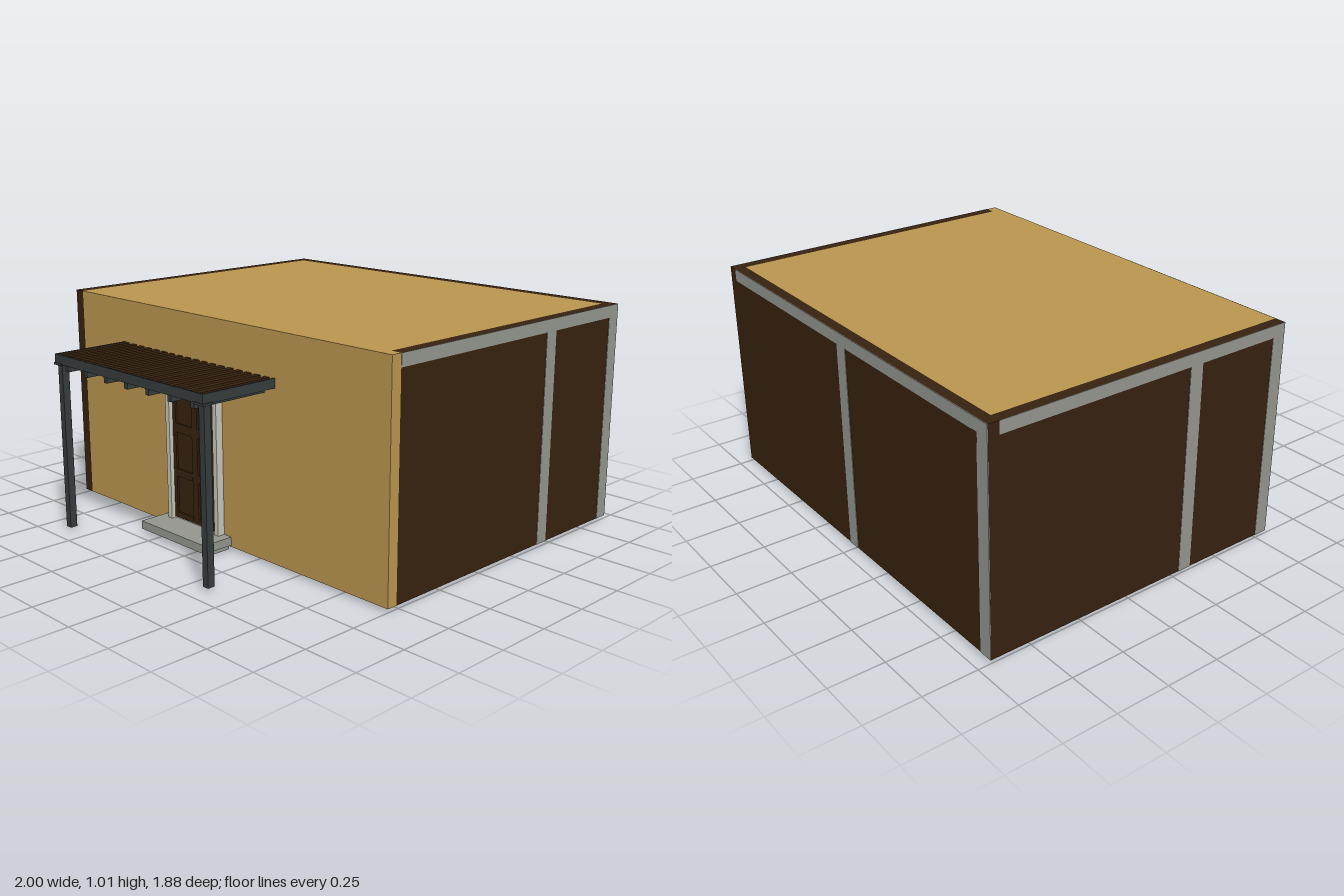
import * as THREE from 'three';

const mat = (name, color) => {
  const m = new THREE.MeshStandardMaterial({ color });
  m.name = name;
  return m;
};

export function createModel() {
  const model = new THREE.Group();
  model.name = 'cabin';
  const plaster = mat('tan plaster', 0xb8954f);
  const timber = mat('dark brown timber', 0x36220f);
  const stone = mat('grey frame and steps', 0x92948d);
  const trim = mat('pale trim', 0xc6c5b6);
  const metal = mat('charcoal metal', 0x353b3c);

  // Box given by its limits on each axis
  const box = (parent, name, material, [x0, x1], [y0, y1], [z0, z1]) => {
    const mesh = new THREE.Mesh(new THREE.BoxGeometry(x1 - x0, y1 - y0, z1 - z0), material);
    mesh.position.set((x0 + x1) / 2, (y0 + y1) / 2, (z0 + z1) / 2);
    mesh.name = name;
    parent.add(mesh);
    return mesh;
  };
  const group = (name) => {
    const g = new THREE.Group();
    g.name = name;
    model.add(g);
    return g;
  };

  // Shell: four walls overlapping at the corners, a roof and no floor
  const shell = group('shell');
  const H = [0.015, 1.01];
  box(shell, 'frontWall', plaster, [-0.95, 1], H, [0.51, 0.56]);
  box(shell, 'rightWall', timber, [-1, -0.95], H, [-0.89, 0.56]);
  box(shell, 'backWall', timber, [-1, 0.95], H, [-0.94, -0.89]);
  box(shell, 'leftWall', timber, [0.95, 1], H, [-0.94, 0.51]);
  box(shell, 'roof', plaster, [-0.95, 0.95], [0.96, 1.01], [-0.89, 0.51]);

  // Thin grey framing on the outside of the three timber walls
  const framing = group('framing');
  const beamY = [0.955, 1.01], postY = [0.015, 0.955];
  const leftX = [0.999, 1.002], rightX = [-1.002, -0.999], backZ = [-0.942, -0.939];
  box(framing, 'leftBeam', stone, leftX, beamY, [-0.94, 0.51]);
  for (const z of [-0.94, -0.47]) box(framing, 'leftPost', stone, leftX, postY, [z, z + 0.065]);
  box(framing, 'rightBeam', stone, rightX, beamY, [-0.89, 0.56]);
  for (const z of [0.03, 0.495]) box(framing, 'rightPost', stone, rightX, postY, [z, z + 0.065]);
  box(framing, 'backBeam', stone, [-1, 0.95], beamY, backZ);
  for (const x of [-1, -0.03]) box(framing, 'backPost', stone, [x, x + 0.065], postY, backZ);

  // Door with trim on both faces of the wall
  const door = group('door');
  const trimZ = [0.5, 0.595];
  for (const x of [-0.3, 0.02]) box(door, 'doorJamb', trim, [x, x + 0.025], [0.06, 0.69], trimZ);
  box(door, 'doorHead', trim, [-0.3, 0.045], [0.69, 0.715], trimZ);
  box(door, 'doorSill', trim, [-0.275, 0.02], [0.045, 0.066], [0.5, 0.57]);
  box(door, 'doorLeaf', timber, [-0.275, 0.02], [0.066, 0.69], [0.505, 0.566]);
  // Raised stiles and rails framing six panels
  const raised = [0.565, 0.575];
  for (const x of [-0.275, -0.145, 0.0]) {
    box(door, 'doorStile', timber, [x, x + (x === -0.145 ? 0.036 : 0.02)], [0.066, 0.69], raised);
  }
  for (const [y0, y1] of [[0.066, 0.09], [0.26, 0.295], [0.465, 0.505], [0.67, 0.69]]) {
    for (const x of [-0.255, -0.109]) box(door, 'doorRail', timber, [x, x + 0.109], [y0, y1], raised);
  }

  // Two steps
  const steps = group('steps');
  box(steps, 'lowerStep', stone, [-0.33, 0.075], [0, 0.022], [0.56, 0.648]);
  box(steps, 'upperStep', stone, [-0.345, 0.09], [0.022, 0.06], [0.56, 0.712]);

  // Pergola: posts with caps, a fascia on three sides, rafters and slats
  const pergola = group('pergola');
  for (const x of [-0.61, 0.353]) {
    box(pergola, 'pergolaPost', metal, [x - 0.016, x + 0.016], [0.015, 0.77], [0.89, 0.924]);
    box(pergola, 'postCap', metal, [x - 0.028, x + 0.028], [0.768, 0.778], [0.888, 0.938]);
  }
  box(pergola, 'frontFascia', metal, [-0.631, 0.376], [0.774, 0.816], [0.927, 0.935]);
  for (const x of [-0.631, 0.368]) box(pergola, 'sideFascia', metal, [x, x + 0.008], [0.774, 0.816], [0.56, 0.927]);
  for (let i = 0; i < 7; i++) {
    const x = -0.555 + i * 0.1428;
    box(pergola, 'rafter', metal, [x - 0.011, x + 0.011], [0.745, 0.784], [0.56, 0.927]);
  }
  for (let i = 0; i < 18; i++) {
    const x = -0.61 + i * 0.0553;
    box(pergola, 'slat', timber, [x - 0.0145, x + 0.0145], [0.784, 0.814], [0.56, 0.927]);
  }
  return model;
}
